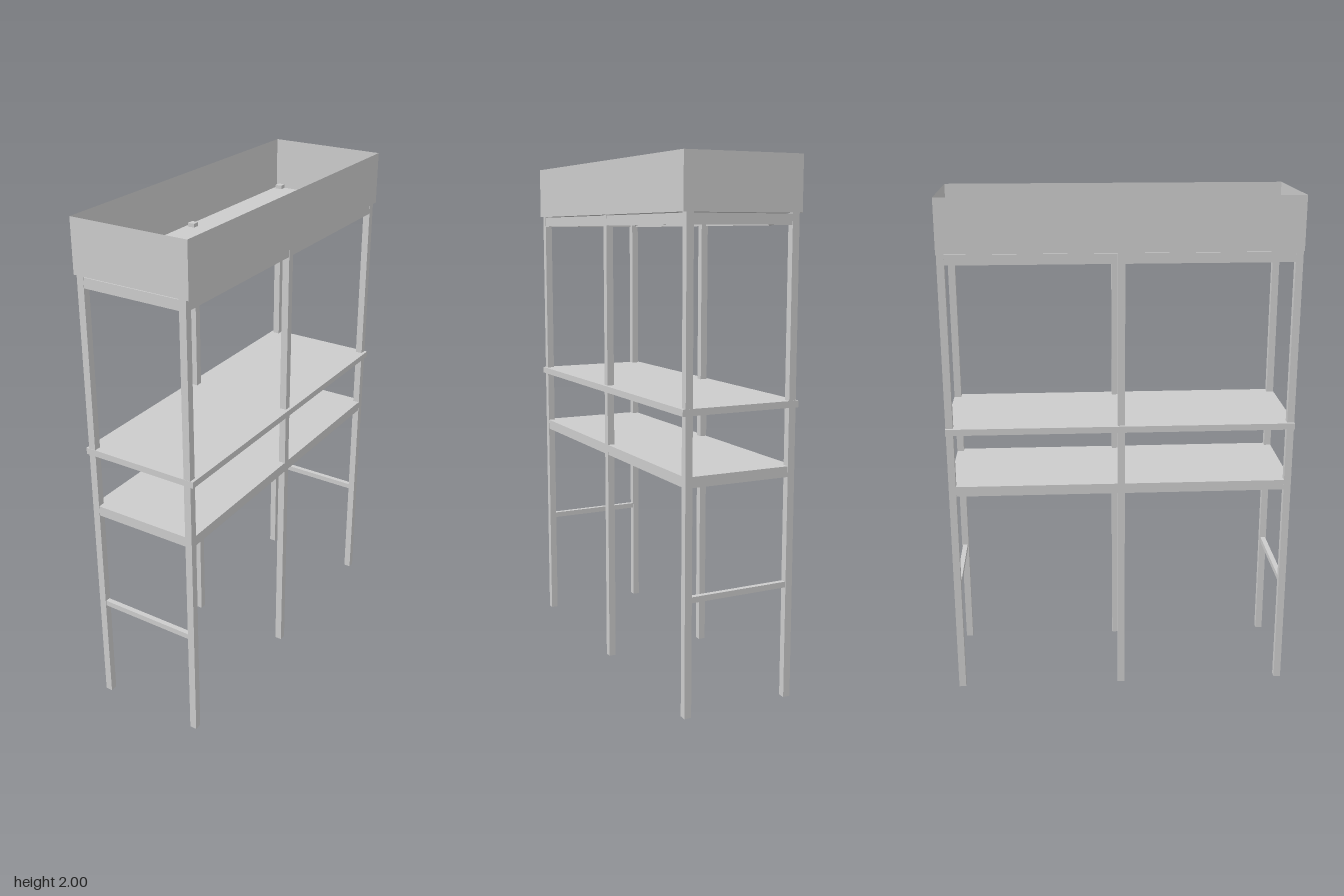
import * as THREE from 'three';

const material = new THREE.MeshStandardMaterial({ color: 0xcccccc, flatShading: true, side: THREE.DoubleSide });

const POST = 0.028;              // square post width
const PX = 0.211, PZ = 0.66;     // post centres
const OX = PX + POST / 2, OZ = PZ + POST / 2; // outer faces of the frame
const RAIL = 0.008;              // rail thickness
const TX = 0.237, TZ = 0.675;    // half size of tray and wide shelf

export function createModel() {
  const model = new THREE.Group();
  model.name = 'plantStand';

  // Box between two heights, centred on (x, z)
  function box(name, w, d, y0, y1, x = 0, z = 0, parent = model) {
    const mesh = new THREE.Mesh(new THREE.BoxGeometry(w, y1 - y0, d), material);
    mesh.name = name;
    mesh.position.set(x, (y0 + y1) / 2, z);
    parent.add(mesh);
    return mesh;
  }

  // Six posts, just breaking through the tray floor
  for (const x of [-PX, PX]) {
    for (const z of [-PZ, 0, PZ]) box('post', POST, POST, 0, 1.812, x, z);
  }

  // Thin panel edged with rails flush with the outside of the posts
  function framedShelf(name, y0, y1) {
    const shelf = new THREE.Group();
    shelf.name = name;
    model.add(shelf);
    box('panel', 2 * OX - 0.004, 2 * OZ - 0.004, y1 - 0.004, y1, 0, 0, shelf);
    for (const s of [-1, 1]) {
      box('sideRail', RAIL, 2 * OZ - 0.002, y0, y1, s * (OX - 0.001 - RAIL / 2), 0, shelf);
      box('endRail', 2 * OX - 0.002, RAIL, y0, y1, 0, s * (OZ - 0.001 - RAIL / 2), shelf);
    }
  }
  framedShelf('lowerShelf', 0.85, 0.89);
  framedShelf('traySupport', 1.755, 1.794);

  // Wide middle shelf
  box('middleShelf', 2 * TX, 2 * TZ, 1.105, 1.13);

  // Low brace at each end
  for (const s of [-1, 1]) box('endBrace', 2 * PX - POST, 0.02, 0.43, 0.452, 0, s * PZ);

  // Open sheet tray
  const tray = new THREE.Group();
  tray.name = 'tray';
  model.add(tray);
  const y0 = 1.797, y1 = 2;
  function sheet(name, w, h, x, y, z, rx, ry) {
    const mesh = new THREE.Mesh(new THREE.PlaneGeometry(w, h), material);
    mesh.name = name;
    mesh.position.set(x, y, z);
    mesh.rotation.set(rx, ry, 0);
    tray.add(mesh);
  }
  sheet('trayFloor', 2 * TX, 2 * TZ, 0, y0, 0, -Math.PI / 2, 0);
  for (const s of [-1, 1]) {
    sheet('traySide', 2 * TZ, y1 - y0, s * TX, (y0 + y1) / 2, 0, 0, s * Math.PI / 2);
    sheet('trayEnd', 2 * TX, y1 - y0, 0, (y0 + y1) / 2, s * TZ, 0, s > 0 ? 0 : Math.PI);
  }

  return model;
}
